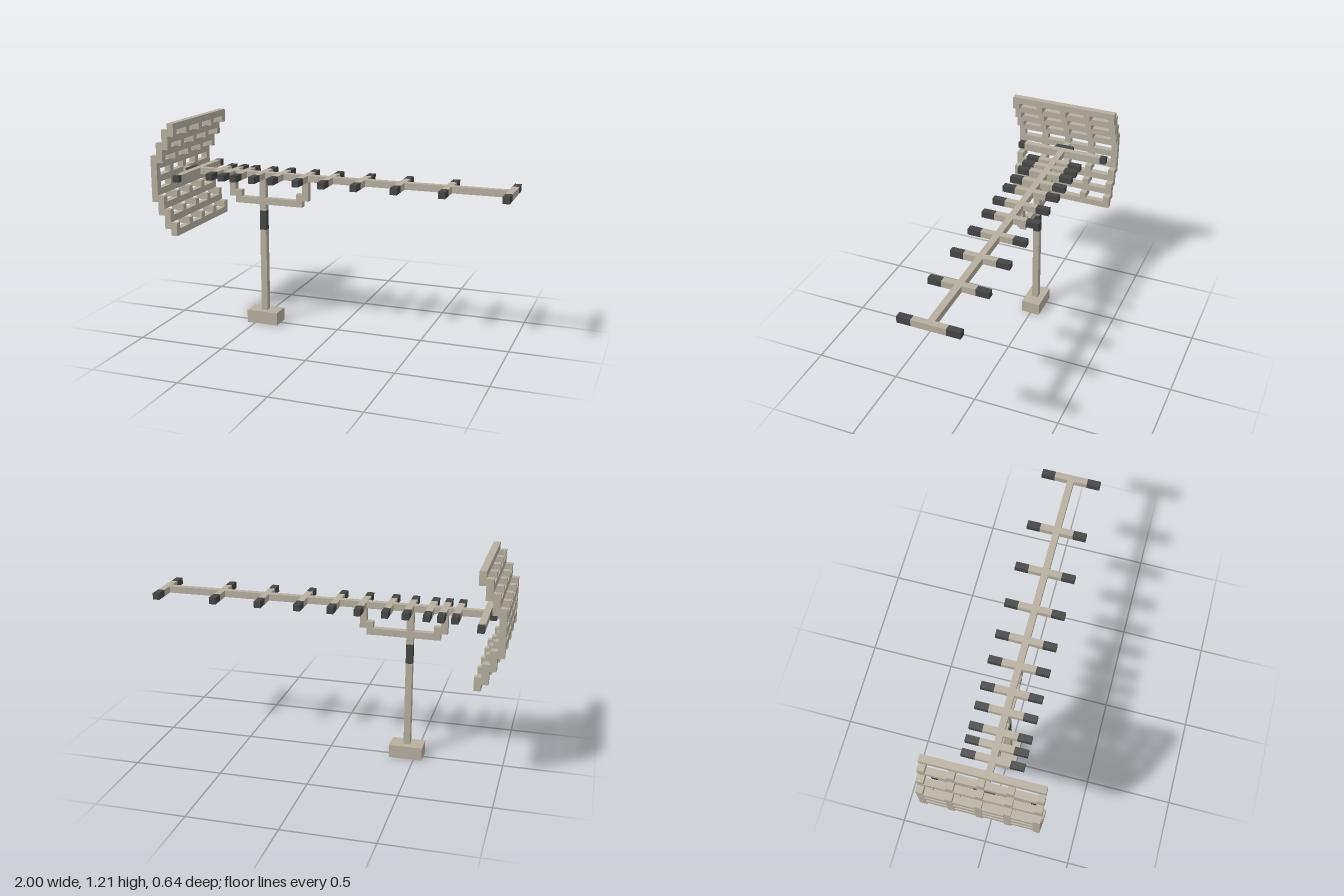
import * as THREE from 'three';

const U = 2 / 53; // one grid cell

export function createModel() {
  const model = new THREE.Group();
  model.name = 'antenna';
  const metal = new THREE.MeshStandardMaterial({ name: 'paleMetal', color: 0xb7afa1 });
  const dark = new THREE.MeshStandardMaterial({ name: 'darkPlastic', color: 0x454646 });

  const group = (name) => {
    const g = new THREE.Group();
    g.name = name;
    model.add(g);
    return g;
  };

  // Box filling whole cells, both ends included: columns in x (0..52), rows in y (0..31), layers in z (-8..8)
  const block = (parent, name, material, [x0, x1], [y0, y1], [z0, z1]) => {
    const geometry = new THREE.BoxGeometry((x1 - x0 + 1) * U, (y1 - y0 + 1) * U, (z1 - z0 + 1) * U);
    const mesh = new THREE.Mesh(geometry, material);
    mesh.name = name;
    mesh.position.set((x0 + x1 + 1) / 2 * U - 1, (y0 + y1 + 1) / 2 * U, (z0 + z1) / 2 * U);
    parent.add(mesh);
  };

  const BOOM = [23, 23], MID = [0, 0];

  // Base and mast with its dark collar
  const stand = group('stand');
  block(stand, 'base', metal, [12, 16], [0, 1], [-1, 1]);
  block(stand, 'lowerMast', metal, [14, 14], [2, 14], MID);
  block(stand, 'mastCollar', dark, [14, 14], [15, 17], MID);
  block(stand, 'upperMast', metal, [14, 14], [18, 22], MID);

  // Cradle bracket under the boom
  const bracket = group('bracket');
  block(bracket, 'bracketRail', metal, [10, 20], [19, 19], MID);
  for (const [post, corner] of [[9, 10], [21, 20]]) {
    block(bracket, 'bracketPost', metal, [post, post], [20, 22], MID);
    block(bracket, 'bracketCorner', metal, [corner, corner], [20, 20], MID);
  }

  // Boom, interrupted by the feed box
  const boom = group('boom');
  block(boom, 'boomRear', metal, [1, 1], BOOM, MID);
  block(boom, 'feedBox', dark, [2, 2], BOOM, [-1, 1]);
  block(boom, 'boomFront', metal, [3, 52], BOOM, MID);

  // Cross bar with dark tips: half = outermost layer, tip = tip length
  const element = (parent, name, x, half, tip) => {
    const inner = half - tip;
    block(parent, name, metal, [x, x], BOOM, [-inner, inner]);
    block(parent, name + 'LeftTip', dark, [x, x], BOOM, [inner + 1, half]);
    block(parent, name + 'RightTip', dark, [x, x], BOOM, [-half, -inner - 1]);
  };
  element(group('dipole'), 'dipoleBar', 3, 7, 1);
  const directors = group('directors');
  for (const x of [7, 9, 11, 14, 17, 21, 25, 30, 36, 43, 52]) element(directors, 'director', x, 4, 2);

  // Stepped reflector grid, mirrored above and below the boom
  const reflector = group('reflector');
  const ribSteps = [[0, -3, 3], [1, 3, 5], [2, 5, 7], [3, 7, 8]];
  for (const z of [-8, -4, 0, 4, 8]) {
    for (const [x, a, b] of ribSteps) {
      block(reflector, 'reflectorRib', metal, [x, x], [23 + a, 23 + b], [z, z]);
      if (x > 0) block(reflector, 'reflectorRib', metal, [x, x], [23 - b, 23 - a], [z, z]);
    }
  }
  for (const [x, dy] of [[0, 0], [0, 2], [1, 4], [2, 6], [3, 8]]) {
    for (const y of dy ? [23 + dy, 23 - dy] : [23]) {
      block(reflector, 'reflectorSlat', metal, [x, x], [y, y], [-8, 8]);
    }
  }
  return model;
}
